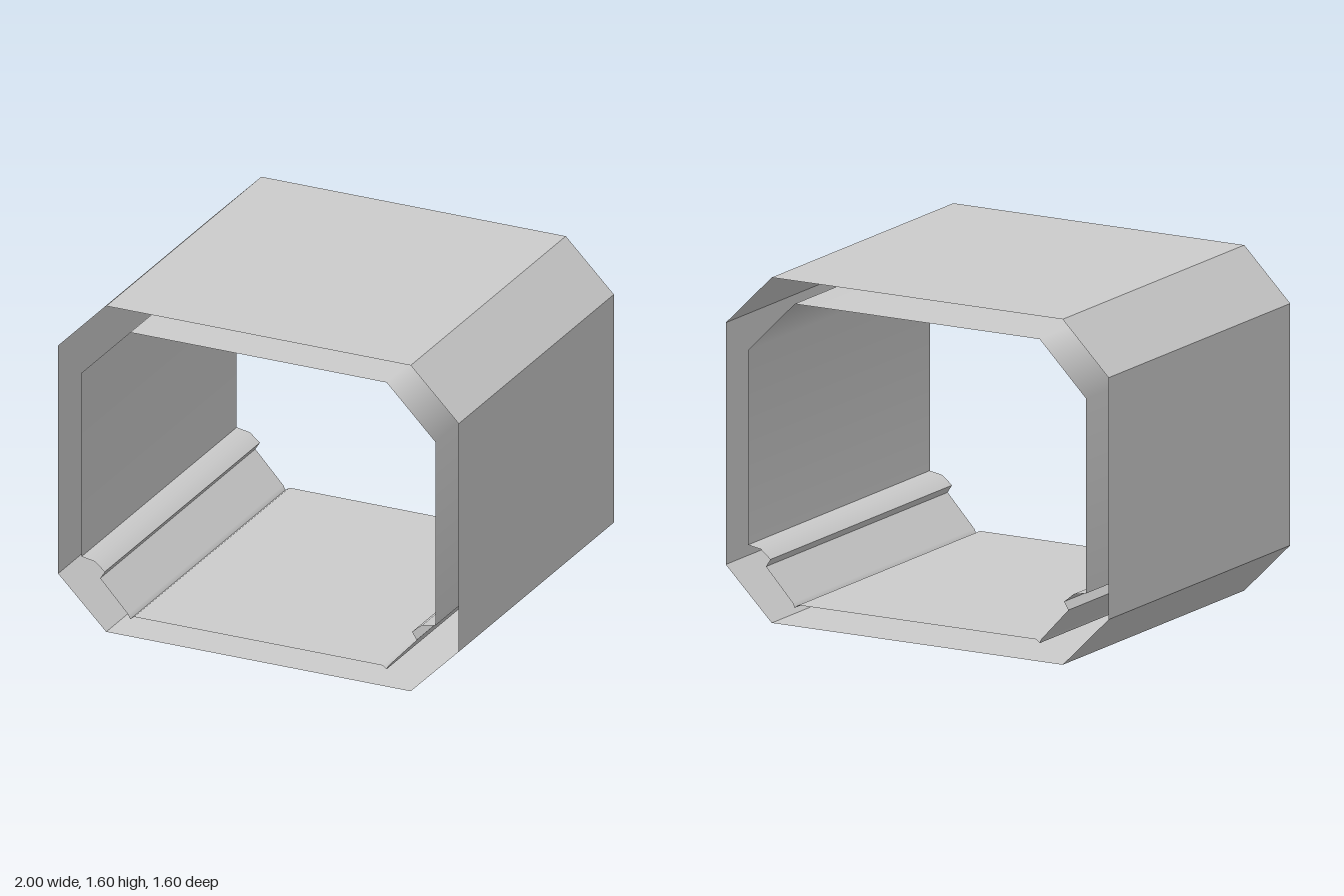
import * as THREE from 'three';

const HALF_DEPTH = 0.8;

// Closed profile from its right half (bottom to top), mirrored to the left
const mirrored = half => [
  ...half,
  ...half.slice().reverse().map(([x, y]) => [-x, y]),
].map(p => new THREE.Vector2(...p));

// Open-ended sleeve along z; corners bending less than creaseAngle shade smoothly,
// with the longer side dominating the shared normal
function sleeve(points, creaseAngle) {
  const n = points.length;
  const sides = points.map((p, i) => {
    const d = points[(i + 1) % n].clone().sub(p);
    return { length: d.length(), normal: new THREE.Vector2(d.y, -d.x).normalize() };
  });
  const cornerNormal = (own, other) => {
    if (Math.acos(Math.min(1, own.normal.dot(other.normal))) > creaseAngle) return own.normal;
    return own.normal.clone().multiplyScalar(own.length ** 2)
      .addScaledVector(other.normal, other.length ** 2).normalize();
  };
  const position = [], normal = [], index = [];
  sides.forEach((side, i) => {
    const p = points[i], q = points[(i + 1) % n];
    const np = cornerNormal(side, sides[(i + n - 1) % n]);
    const nq = cornerNormal(side, sides[(i + 1) % n]);
    const k = i * 4;
    for (const [v, m, z] of [[p, np, 1], [q, nq, 1], [q, nq, -1], [p, np, -1]]) {
      position.push(v.x, v.y, z * HALF_DEPTH);
      normal.push(m.x, m.y, 0);
    }
    index.push(k, k + 3, k + 2, k, k + 2, k + 1);
  });
  const geometry = new THREE.BufferGeometry();
  geometry.setAttribute('position', new THREE.Float32BufferAttribute(position, 3));
  geometry.setAttribute('normal', new THREE.Float32BufferAttribute(normal, 3));
  geometry.setIndex(index);
  return geometry;
}

export function createModel() {
  const group = new THREE.Group();
  group.name = 'octagonalTunnel';
  const material = new THREE.MeshStandardMaterial({ color: 0xcccccc, side: THREE.DoubleSide });
  const add = (name, geometry) => {
    const mesh = new THREE.Mesh(geometry, material);
    mesh.name = name;
    group.add(mesh);
  };

  // Outer shell: chamfered box section, faceted
  add('outerShell', sleeve(mirrored([[0.76, 0], [1, 0.24], [1, 1.36], [0.76, 1.6]]), 0));

  // Inner lining, facing inward: floor groove, sloped skirting, rail, wall, ceiling chamfer
  const lining = mirrored([
    [0.62, 0.1], [0.64, 0.085], [0.65, 0.106],
    [0.79, 0.257], [0.767, 0.293], [0.817, 0.334], [0.883, 0.346],
    [0.883, 1.248], [0.64, 1.493],
  ]);
  add('innerLining', sleeve(lining.reverse(), THREE.MathUtils.degToRad(50)));

  return group;
}
